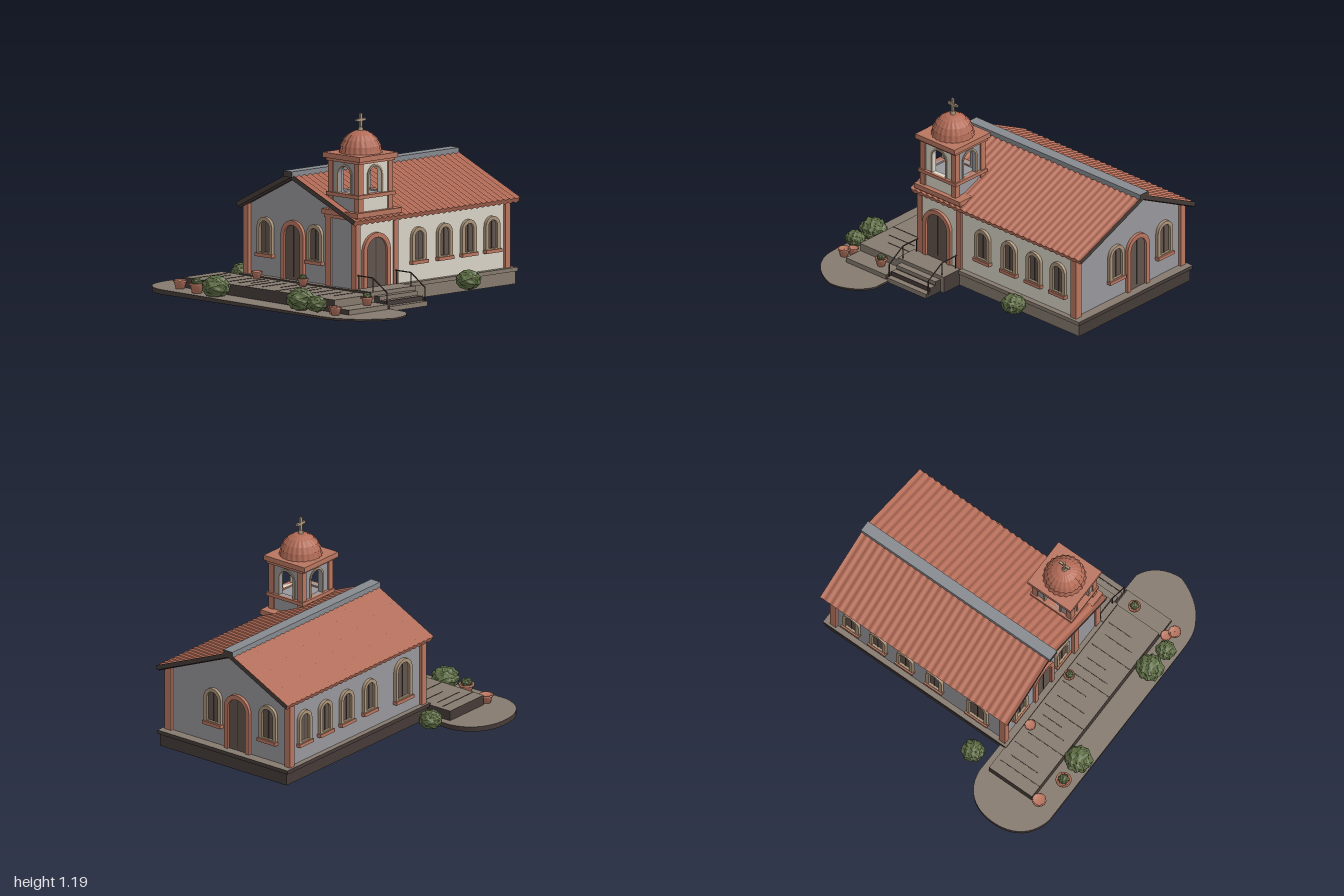
import * as THREE from 'three';

const mat = (name, color, side = THREE.FrontSide) => {
  const m = new THREE.MeshStandardMaterial({ color, side });
  m.name = name;
  return m;
};
const M = {
  tile: mat('roofTile', 0xb46c57),
  trim: mat('terracottaTrim', 0xb97660),
  gray: mat('grayPlaster', 0x98979c),
  cream: mat('creamPlaster', 0xdad4c8),
  stone: mat('pavingStone', 0x867a6e),
  dark: mat('darkWood', 0x453b38),
  pane: mat('pane', 0x62544e),
  tan: mat('tanStone', 0xab947a),
  leaf: mat('leaf', 0x5f6e45),
  slate: mat('ridgeSlate', 0x868a90),
};

export function createModel() {
  const model = new THREE.Group();
  const add = (name, geo, material, x = 0, y = 0, z = 0, parent = model) => {
    const m = new THREE.Mesh(geo, material);
    m.name = name;
    m.position.set(x, y, z);
    parent.add(m);
    return m;
  };
  // box given by its limits on each axis
  const box = (name, material, x0, x1, y0, y1, z0, z1, parent) =>
    add(name, new THREE.BoxGeometry(x1 - x0, y1 - y0, z1 - z0), material,
      (x0 + x1) / 2, (y0 + y1) / 2, (z0 + z1) / 2, parent);
  const extrude = (shape, depth) =>
    new THREE.ExtrudeGeometry(shape, { depth, bevelEnabled: false, curveSegments: 12 });
  const arch = (C, w, h, y = 0) => {
    const s = new C();
    s.moveTo(-w / 2, y);
    s.lineTo(w / 2, y);
    s.lineTo(w / 2, y + h - w / 2);
    s.absarc(0, y + h - w / 2, w / 2, 0, Math.PI, false);
    s.lineTo(-w / 2, y);
    return s;
  };

  // ---- ground slab with round ends, thinner towards the right
  const g = new THREE.Shape();
  g.moveTo(-0.78, 0.4);
  g.lineTo(0.85, 0.42);
  g.bezierCurveTo(0.95, 0.46, 1, 0.56, 1, 0.66);
  g.bezierCurveTo(0.97, 0.76, 0.9, 0.86, 0.82, 0.9);
  g.bezierCurveTo(0.76, 0.94, 0.7, 0.945, 0.6, 0.945);
  g.lineTo(-0.78, 0.945);
  g.bezierCurveTo(-0.92, 0.92, -1, 0.82, -1, 0.67);
  g.bezierCurveTo(-1, 0.52, -0.92, 0.42, -0.78, 0.4);
  const slab = extrude(g, 0.02).rotateX(Math.PI / 2);
  const sp = slab.attributes.position;
  for (let i = 0; i < sp.count; i++) {
    sp.setY(i, sp.getY(i) < -0.01 ? 0.005 : 0.027 - 0.011 * sp.getX(i));
  }
  add('groundSlab', slab, [M.stone, M.dark]);

  // ---- plinth, terrace and steps (sides: right, left, top, bottom, front, back)
  const paved = [M.stone, M.dark, M.stone, M.dark, M.dark, M.dark];
  box('plinth', paved, -0.56, 0.455, 0.005, 0.09, -0.94, 0.46);
  box('plinthLip', paved, -0.575, 0.465, 0.085, 0.11, -0.95, 0.46);
  box('terrace', paved, -0.74, 0.6, 0.01, 0.1, 0.45, 0.78);
  box('lowStep', paved, 0.6, 0.73, 0.01, 0.05, 0.44, 0.78);
  box('stepLanding', paved, 0.45, 0.6, 0.005, 0.115, 0.07, 0.46);
  for (let i = 0; i < 3; i++) {
    box('step', paved, 0.6 + i * 0.044, 0.644 + i * 0.044, 0.005, 0.09 - i * 0.027, 0.1, 0.43);
  }
  for (let i = 0; i < 15; i++) {
    const x = -0.66 + i * 0.08 + 0.015 * Math.sin(i * 5);
    box('pavingJoint', M.dark, x, x + 0.005, 0.1, 0.102, 0.48 + 0.03 * (i % 2), 0.78 - 0.06 * (i % 3));
  }
  for (const x of [0.645, 0.69]) box('stepJoint', M.dark, x - 0.003, x + 0.003, 0.03, 0.065, 0.1, 0.43);

  // ---- nave body
  const roofL = [-0.585, 0.552], ridge = [-0.113, 0.785], roofR = [0.467, 0.545];
  const gable = new THREE.Shape();
  [[-0.54, 0.1], [0.425, 0.1], [0.425, 0.54], [-0.113, 0.765], [-0.54, 0.55]]
    .forEach(([x, y], i) => (i ? gable.lineTo(x, y) : gable.moveTo(x, y)));
  add('naveWalls', extrude(gable, 1.3), M.gray, 0, 0, -0.885);
  box('rightWallFace', M.cream, 0.42, 0.429, 0.11, 0.53, -0.88, 0.1);
  for (const z of [-0.905, 0.395]) {
    box('cornerPilaster', M.trim, -0.56, -0.515, 0.1, 0.55, z, z + 0.045);
  }
  box('cornerPilaster', M.trim, 0.395, 0.445, 0.1, 0.53, -0.905, -0.86);

  // ---- corrugated tile roof
  const slope = (name, a, b) => {
    const len = Math.hypot(b[0] - a[0], b[1] - a[1]);
    const ang = Math.atan2(b[1] - a[1], b[0] - a[0]);
    const t = 0.03, geo = new THREE.BoxGeometry(len, t, 1.44, 1, 1, 30 * 8);
    const p = geo.attributes.position;
    for (let i = 0; i < p.count; i++) {
      p.setY(i, p.getY(i) + 0.005 * Math.cos((p.getZ(i) / 1.44) * 30 * Math.PI * 2));
    }
    geo.computeVertexNormals();
    const m = add(name, geo, [M.tile, M.tile, M.tile, M.dark, M.dark, M.dark],
      (a[0] + b[0]) / 2 + Math.sin(ang) * t / 2, (a[1] + b[1]) / 2 - Math.cos(ang) * t / 2, -0.245);
    m.rotation.z = ang;
  };
  slope('leftRoof', roofL, ridge);
  slope('rightRoof', ridge, roofR);
  box('ridgeCap', [M.slate, M.slate, M.slate, M.dark, M.dark, M.dark],
    -0.15, -0.076, 0.765, 0.802, -0.968, 0.488);

  // ---- arched windows and doors
  const opening = (name, x, y, z, rot, w, h, door) => {
    const o = new THREE.Group();
    o.name = name;
    o.position.set(x, y, z);
    o.rotation.y = rot;
    const f = door ? 0.03 : 0.024;
    const frame = arch(THREE.Shape, w, h);
    frame.holes.push(arch(THREE.Path, w - 2 * f, h - f - (door ? 0.002 : f), door ? 0.002 : f));
    add('frame', extrude(frame, 0.022), door ? M.trim : M.tan, 0, 0, 0, o);
    add('pane', extrude(arch(THREE.Shape, w - f, h - f / 2), 0.007), M.pane, 0, 0, 0, o);
    box('centreBar', M.dark, -0.003, 0.003, f, h - f, 0.004, 0.01, o);
    if (!door) box('sill', M.trim, -w / 2 - 0.006, w / 2 + 0.006, -0.006, 0.016, 0, 0.032, o);
    model.add(o);
  };
  for (const [z, r] of [[0.414, 0], [-0.884, Math.PI]]) {
    opening('gableWindow', -0.375, 0.235, z, r, 0.135, 0.245);
    opening('gableWindow', 0.065, 0.235, z, r, 0.135, 0.245);
    opening('gableDoor', -0.13, 0.1, z, r, 0.2, 0.385, true);
  }
  for (const z of [-0.11, -0.335, -0.545, -0.75]) {
    opening('rightWindow', 0.428, 0.225, z, Math.PI / 2, 0.125, 0.225);
    opening('leftWindow', -0.539, 0.225, z, -Math.PI / 2, 0.125, 0.225);
  }
  opening('leftWindow', -0.539, 0.2, 0.22, -Math.PI / 2, 0.16, 0.28);
  opening('towerDoor', 0.436, 0.11, 0.267, Math.PI / 2, 0.235, 0.345, true);

  // ---- tower base
  const plaster = [M.cream, M.gray, M.gray, M.gray, M.gray, M.gray];
  box('towerBase', plaster, 0.185, 0.437, 0.1, 0.57, 0.08, 0.43);
  for (const x of [0.175, 0.4]) {
    for (const z of [0.07, 0.4]) {
      box('towerPilaster', M.trim, x, x + 0.045, 0.1, 0.56, z, z + 0.04);
    }
  }
  box('towerCornice', M.trim, 0.145, 0.465, 0.56, 0.592, 0.06, 0.447);
  box('towerCorniceBed', M.trim, 0.16, 0.453, 0.54, 0.56, 0.066, 0.44);

  // ---- belfry with an arch through each side
  const cx = 0.307, cz = 0.265, hx = 0.126, hz = 0.14;
  for (let i = 0; i < 4; i++) {
    const side = i % 2 === 1;
    const w = side ? hz : hx, out = side ? hx : hz;
    const wall = new THREE.Shape();
    wall.moveTo(-w, 0.59);
    wall.lineTo(w, 0.59);
    wall.lineTo(w, 0.905);
    wall.lineTo(-w, 0.905);
    wall.holes.push(arch(THREE.Path, 0.11, 0.17, 0.7));
    const holder = new THREE.Group();
    holder.name = 'belfrySide';
    holder.position.set(cx, 0, cz);
    holder.rotation.y = i * Math.PI / 2;
    add('belfryWall', extrude(wall, 0.03), i === 1 ? M.cream : M.gray, 0, 0, out - 0.03, holder);
    const rim = arch(THREE.Shape, 0.136, 0.184, 0.699);
    rim.holes.push(arch(THREE.Path, 0.11, 0.17, 0.7));
    add('archRim', extrude(rim, 0.006), M.tan, 0, 0, out, holder);
    box('belfryBelt', M.trim, -w - 0.02, w + 0.02, 0.677, 0.7, out - 0.03, out + 0.02, holder);
    model.add(holder);
  }
  for (const sx of [-1, 1]) {
    for (const sz of [-1, 1]) {
      const x = cx + sx * 0.116, z = cz + sz * 0.13;
      box('belfryPier', M.trim, x - 0.02, x + 0.02, 0.59, 0.91, z - 0.02, z + 0.02);
    }
  }
  box('belfryFloor', M.gray, cx - 0.1, cx + 0.1, 0.66, 0.69, cz - 0.12, cz + 0.12);
  box('belfryCap', M.trim, 0.142, 0.47, 0.912, 0.945, 0.1, 0.433);
  box('belfryCapBed', M.trim, 0.16, 0.453, 0.895, 0.912, 0.108, 0.422);

  // ---- bell
  const V = (x, y) => new THREE.Vector2(x, y);
  const bell = new THREE.LatheGeometry([V(0.046, 0), V(0.04, 0.02), V(0.031, 0.05), V(0.026, 0.08), V(0.001, 0.095)], 16);
  add('bell', bell, M.dark, cx, 0.735, cz).material.side = THREE.DoubleSide;
  add('bellHanger', new THREE.CylinderGeometry(0.006, 0.006, 0.09, 8), M.dark, cx, 0.865, cz);
  add('bellClapper', new THREE.SphereGeometry(0.012, 8, 6), M.dark, cx, 0.73, cz);

  // ---- tiled dome: stepped tiers with scalloped edges
  const prof = [];
  for (let i = 0; i < 5; i++) {
    const a = i * Math.PI / 10, b = (i + 1) * Math.PI / 10;
    prof.push(V(0.127 * Math.cos(a) + 0.006, 0.14 * Math.sin(a)));
    prof.push(V(Math.max(0.127 * Math.cos(b), 0.001), 0.14 * Math.sin(b)));
  }
  const dome = new THREE.LatheGeometry(prof, 88);
  const dp = dome.attributes.position;
  for (let i = 0; i < dp.count; i++) {
    const x = dp.getX(i), z = dp.getZ(i);
    const k = 1 + 0.03 * Math.cos(22 * Math.atan2(x, z));
    dp.setX(i, x * k);
    dp.setZ(i, z * k);
  }
  dome.computeVertexNormals();
  add('dome', dome, M.tile, cx, 0.945, cz);

  // ---- cross
  add('crossFoot', new THREE.CylinderGeometry(0.012, 0.018, 0.025, 10), M.tan, cx, 1.092, cz);
  box('crossPost', M.tan, cx - 0.007, cx + 0.007, 1.08, 1.19, cz - 0.008, cz + 0.008);
  box('crossArm', M.tan, cx - 0.007, cx + 0.007, 1.14, 1.156, cz - 0.04, cz + 0.04);

  // ---- step railings
  const bar = (a, b) => add('railing', new THREE.TubeGeometry(
    new THREE.LineCurve3(new THREE.Vector3(...a), new THREE.Vector3(...b)), 1, 0.004, 6), M.dark);
  for (const z of [0.1, 0.43]) {
    bar([0.45, 0.2, z], [0.585, 0.2, z]);
    bar([0.585, 0.2, z], [0.71, 0.12, z]);
    bar([0.585, 0.1, z], [0.585, 0.2, z]);
    bar([0.71, 0.03, z], [0.71, 0.12, z]);
    bar([0.46, 0.1, z], [0.46, 0.2, z]);
  }

  // ---- leafy bushes
  const bush = (x, y, z, r, name = 'bush') => {
    const geo = new THREE.IcosahedronGeometry(1, 5), p = geo.attributes.position;
    const v = new THREE.Vector3();
    for (let i = 0; i < p.count; i++) {
      v.fromBufferAttribute(p, i);
      const k = 0.94 + 0.07 * Math.sin(9 * v.x + x * 7) * Math.sin(9 * v.y + 1) + 0.06 * Math.cos(11 * v.z + 5 * v.x);
      p.setXYZ(i, v.x * k * r, v.y * k * r * 0.8, v.z * k * r);
    }
    geo.computeVertexNormals();
    add(name, geo, M.leaf, x, y, z);
  };
  bush(-0.705, 0.085, 0.3, 0.075);
  bush(0.53, 0.09, -0.455, 0.08);
  bush(-0.365, 0.09, 0.865, 0.09);
  bush(0.385, 0.09, 0.865, 0.09);
  bush(0.54, 0.08, 0.875, 0.065);

  // ---- clay pots with small plants
  const pot = (x, y, z, r, planted) => {
    const geo = new THREE.LatheGeometry([V(0.001, 0), V(r * 0.6, 0), V(r * 0.85, r), V(r, r * 1.05), V(r, r * 1.3),
      V(r * 0.8, r * 1.3), V(r * 0.75, r * 1.1), V(0.001, r * 1.1)], 14);
    add('pot', geo, M.trim, x, y, z);
    if (planted) bush(x, y + r * 1.45, z, r * 0.7, 'pottedPlant');
  };
  pot(-0.725, 0.03, 0.825, 0.045);
  pot(-0.53, 0.03, 0.87, 0.05, true);
  pot(-0.375, 0.1, 0.5, 0.036);
  pot(0.035, 0.1, 0.5, 0.036, true);
  pot(0.655, 0.05, 0.55, 0.04, true);
  pot(0.625, 0.02, 0.815, 0.036);
  pot(0.675, 0.02, 0.845, 0.04);

  return model;
}
